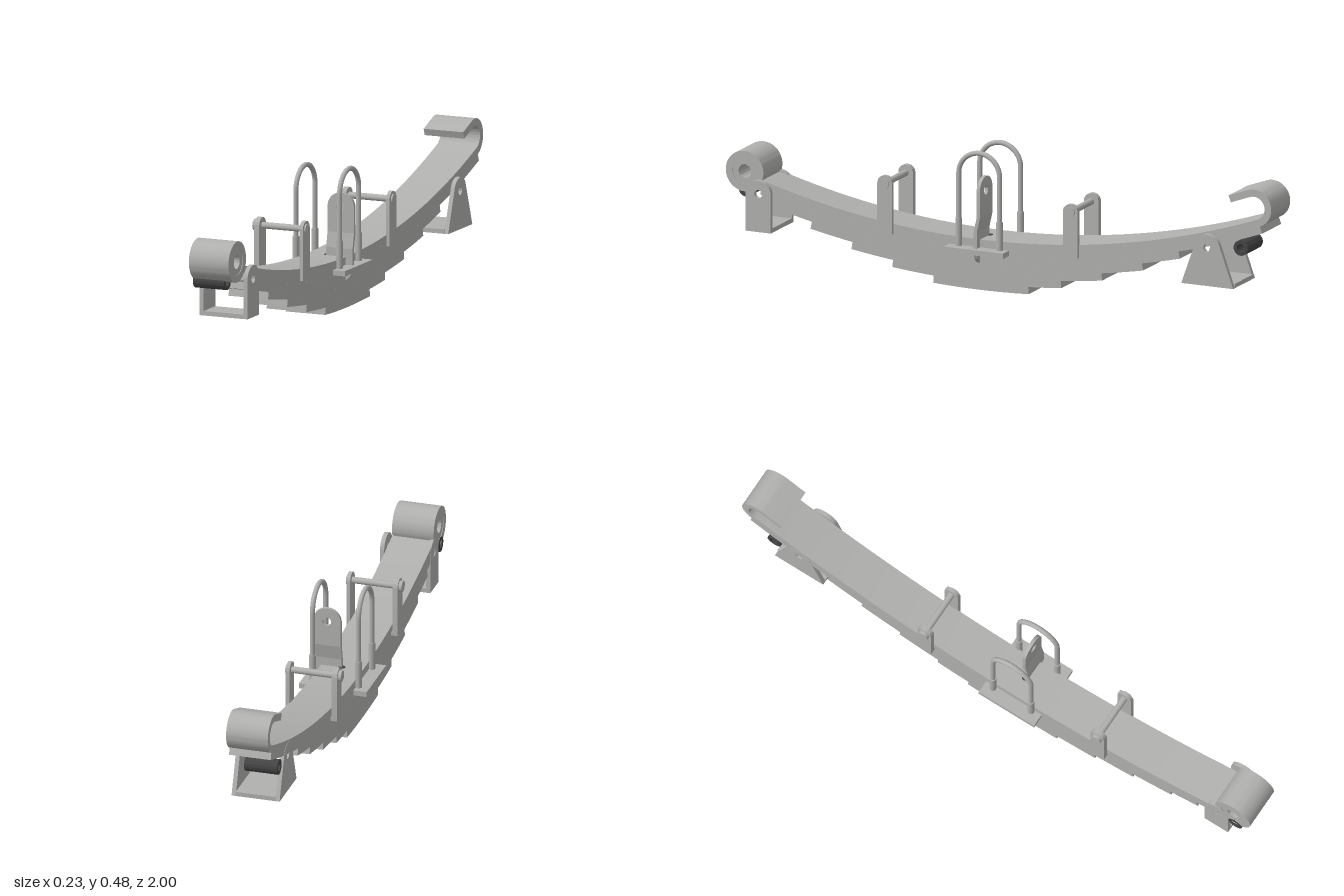
import * as THREE from 'three';
import { toCreasedNormals } from 'three/addons/utils/BufferGeometryUtils.js';

const Z0 = 0.068, R = 3.1, T = 0.0245, W = 0.144;

export function createModel() {
  const model = new THREE.Group();
  const steel = new THREE.MeshStandardMaterial({ color: 0xb0b0ae });
  steel.name = 'steel grey';
  const dark = new THREE.MeshStandardMaterial({ color: 0x444444 });
  dark.name = 'dark bushing';

  const add = (name, geo, mat = steel, parent = model) => {
    const m = new THREE.Mesh(geo, mat);
    m.name = name;
    parent.add(m);
    return m;
  };
  const group = (name) => {
    const g = new THREE.Group();
    g.name = name;
    model.add(g);
    return g;
  };
  const extrude = (shape, depth) => toCreasedNormals(
    new THREE.ExtrudeGeometry(shape, { depth, bevelEnabled: false, curveSegments: 24 }), 0.6);
  // side profile drawn in (z, y), running from x0 to x1
  const sideExtrude = (shape, x0, x1) => extrude(shape, x1 - x0).rotateY(-Math.PI / 2).translate(x1, 0, 0);
  const poly = (pts) => new THREE.Shape(pts.map(([a, b]) => new THREE.Vector2(a, b)));
  const hole = (shape, a, b, r) => {
    shape.holes.push(new THREE.Path().absarc(a, b, r, 0, Math.PI * 2, true));
    return shape;
  };
  const box = (x0, x1, y0, y1, z0, z1) => new THREE.BoxGeometry(x1 - x0, y1 - y0, z1 - z0)
    .translate((x0 + x1) / 2, (y0 + y1) / 2, (z0 + z1) / 2);
  // tube with a bore, lying along x
  const ring = (z, y, r, bore, x0, x1) => sideExtrude(
    hole(new THREE.Shape().absarc(z, y, r, 0, Math.PI * 2), z, y, bore), x0, x1);
  const rod = (z, y, r, x0, x1) => new THREE.CylinderGeometry(r, r, x1 - x0, 24)
    .rotateZ(Math.PI / 2).translate((x0 + x1) / 2, y, z);
  // upright plate with rounded top; foot half-width may exceed the top radius
  const lug = (c, y0, yc, r, foot, bore) => {
    const slope = foot > r ? 0.35 : 0;
    const s = new THREE.Shape();
    s.moveTo(c - foot, y0);
    s.lineTo(c + foot, y0);
    s.absarc(c, yc, r, slope, Math.PI - slope, false);
    s.closePath();
    return bore ? hole(s, c, yc, bore) : s;
  };

  // curved leaf: outer points with inward normals, thickened into a closed profile
  const arcPath = (base, front, rear) => {
    const r = R - base, out = [];
    for (let i = 0; i <= 40; i++) {
      const t = front + (rear - front) * i / 40;
      out.push([Z0 + r * Math.sin(t), R - r * Math.cos(t), -Math.sin(t), Math.cos(t)]);
    }
    return out;
  };
  const thicken = (path) => poly([
    ...path.map(([z, y]) => [z, y]),
    ...path.map(([z, y, nz, ny]) => [z + nz * T, y + ny * T]).reverse(),
  ]);
  const angleAt = (z, base) => Math.asin((z - Z0) / (R - base));

  // stacked leaves, shortest at the bottom: [front z, rear z]
  const leaves = group('leafPack');
  [[0.24, -0.11], [0.39, -0.23], [0.54, -0.38], [0.69, -0.53], [0.795, -0.665], [0.875, -0.967]]
    .forEach(([f, b], i) => {
      const base = i * T;
      add('leaf' + (i + 1), sideExtrude(thicken(arcPath(base, angleAt(f, base), angleAt(b, base))),
        -W / 2, W / 2), steel, leaves);
    });

  // main leaf with open rear hook
  const base = 6 * T, hookR = 0.064;
  const phi = Math.asin((0.936 + Z0) / (R - base - hookR));
  const main = arcPath(base, angleAt(0.89, base), -phi);
  const hz = -0.936, hy = R - (R - base - hookR) * Math.cos(phi);
  for (let i = 1; i <= 24; i++) {
    const a = -(Math.PI / 2 + phi) - Math.PI * i / 24;
    const c = Math.cos(a), s = Math.sin(a);
    main.push([hz + hookR * c, hy + hookR * s, -c, -s]);
  }
  const [lz, ly, nz, ny] = main[main.length - 1];
  main.push([lz + 0.075 * Math.cos(phi), ly - 0.075 * Math.sin(phi), nz, ny]);
  add('mainLeafWithHook', sideExtrude(thicken(main), -W / 2, W / 2), steel, leaves);

  // front eye
  add('frontEye', ring(0.932, 0.307, 0.069, 0.044, -W / 2, W / 2));
  add('frontEyeBushing', ring(0.932, 0.307, 0.044, 0.023, -W / 2 + 0.002, W / 2 - 0.002));

  // loose bushings
  add('frontBushing', ring(0.942, 0.238, 0.026, 0.014, -0.073, 0.041), dark);
  add('rearBushing', ring(-0.873, 0.241, 0.026, 0.014, -0.073, 0.041), dark);

  // U-shaped hanger brackets at both ends
  const bracket = (name, c, r, foot, x0, x1) => {
    const g = group(name), t = 0.0145;
    for (const [a, b] of [[x0, x0 + t], [x1 - t, x1]]) {
      add('bracketWall', sideExtrude(lug(c, 0.113, 0.242, r, foot, 0.014), a, b), steel, g);
    }
    add('bracketBase', box(x0 + t, x1 - t, 0.113, 0.128, c - foot, c + foot), steel, g);
  };
  bracket('frontBracket', 0.868, 0.046, 0.046, -0.073, 0.101);
  bracket('rearBracket', -0.775, 0.046, 0.095, -0.073, 0.093);

  // rebound clips with cross bolts
  for (const [name, z, y0, yc] of [['frontClip', 0.413, 0.155, 0.326], ['rearClip', -0.268, 0.15, 0.305]]) {
    const g = group(name);
    add('clipSide', sideExtrude(lug(z, y0, yc, 0.027, 0.027), -0.094, -0.076), steel, g);
    add('clipSide', sideExtrude(lug(z, y0, yc, 0.027, 0.027), 0.07, 0.083), steel, g);
    add('clipBase', box(-0.08, 0.075, y0, y0 + 0.012, z - 0.027, z + 0.027), steel, g);
    add('clipBolt', rod(z, yc, 0.011, -0.098, 0.084), steel, g);
    add('boltHead', rod(z, yc, 0.019, -0.105, -0.094), steel, g);
    add('boltNut', rod(z, yc, 0.017, 0.083, 0.088), steel, g);
  }

  // axle seat plate
  add('seatPlate', box(-0.118, 0.116, 0.127, 0.145, -0.038, 0.18));

  // U-bolts
  const legY = 0.392, half = 0.075;
  const curve = new THREE.CurvePath();
  const v = (y, z) => new THREE.Vector3(0, y, z);
  const bend = [];
  for (let i = 0; i <= 16; i++) {
    const a = Math.PI * i / 16;
    bend.push(v(legY + half * Math.sin(a), Z0 + half * Math.cos(a)));
  }
  curve.add(new THREE.LineCurve3(v(0.14, Z0 + half), bend[0]));
  curve.add(new THREE.CatmullRomCurve3(bend));
  curve.add(new THREE.LineCurve3(bend[16], v(0.14, Z0 - half)));
  for (const x of [-0.08, 0.079]) {
    const g = group('uBolt');
    add('uBoltRod', new THREE.TubeGeometry(curve, 80, 0.0085, 14), steel, g).position.x = x;
    for (const s of [-1, 1]) {
      add('uBoltSleeve', new THREE.CylinderGeometry(0.0115, 0.0115, 0.1, 18), steel, g)
        .position.set(x, 0.19, Z0 + s * half);
    }
  }

  // offset strap with rounded ends, jogged in the middle
  const strap = group('offsetStrap');
  const sx = 0.049, sr = 0.048, st = 0.012, zu = 0.057, zl = 0.068;
  add('strapTop', extrude(lug(sx, 0.25, 0.336, sr, sr, 0.015), st).translate(0, 0, zu), steel, strap);
  const low = new THREE.Shape();
  low.moveTo(sx + sr, 0.2);
  low.lineTo(sx - sr, 0.2);
  low.absarc(sx, 0.135, sr, Math.PI, Math.PI * 2, false);
  low.closePath();
  add('strapBottom', extrude(hole(low, sx, 0.135, 0.015), st).translate(0, 0, zl), steel, strap);
  add('strapJog', sideExtrude(poly([[zl, 0.2], [zl + st, 0.2], [zu + st, 0.25], [zu, 0.25]]),
    sx - sr, sx + sr), steel, strap);

  // centre bolt hole marks on the top and bottom leaves
  for (const y of [0.0005, 7 * T]) {
    add('centreHole', new THREE.CylinderGeometry(0.011, 0.011, 0.002, 20), dark).position.set(0, y + 0.0005, Z0);
  }
  return model;
}
